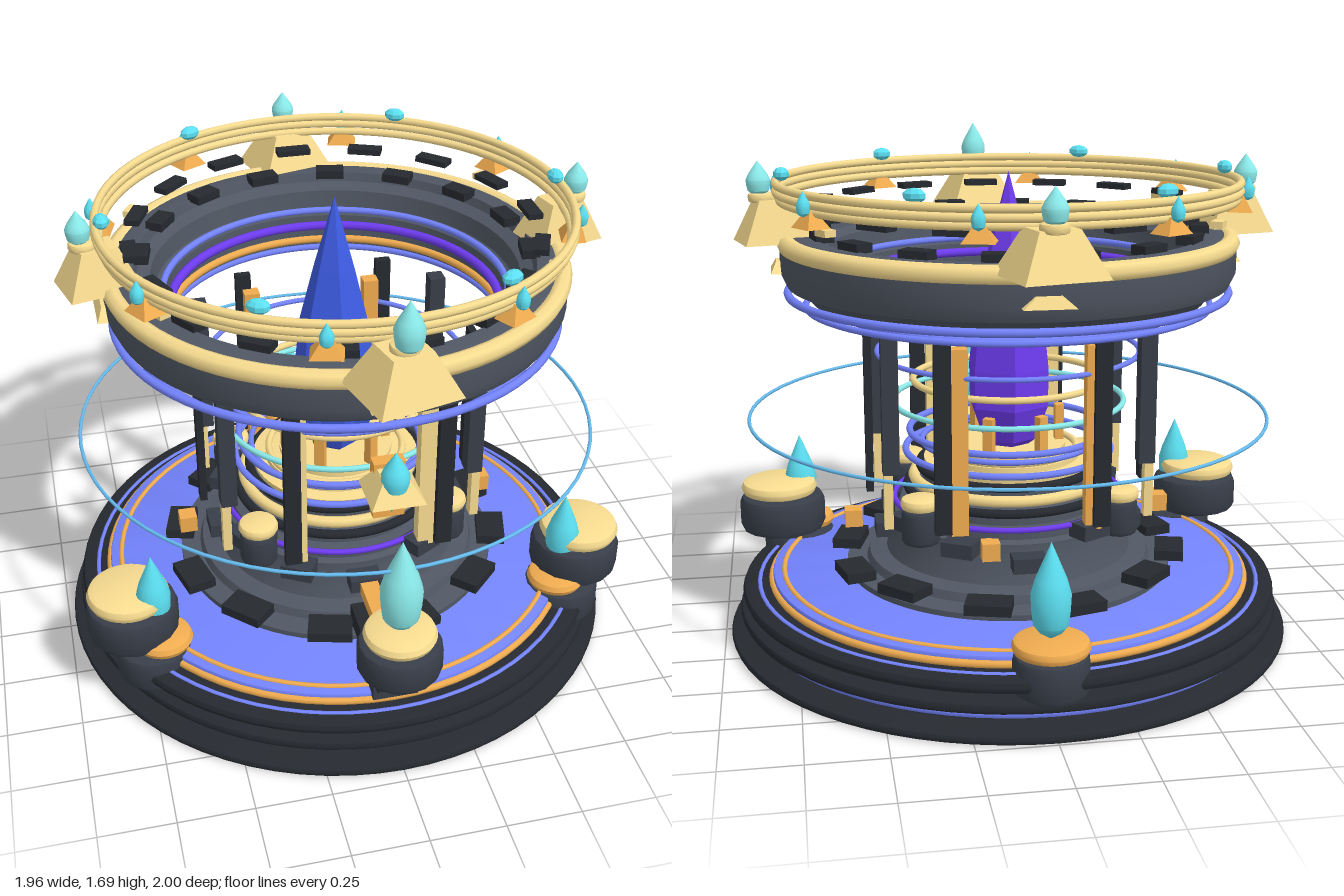
import * as THREE from 'three';
import { toCreasedNormals } from 'three/addons/utils/BufferGeometryUtils.js';

const C = {
  gold: 0xf8dc90, orange: 0xf0ac50, dark: 0x383e49, black: 0x262a30, grey: 0x505763,
  blue: 0x7484ff, purple: 0x6e3cf0, royal: 0x3e5ce4, cyan: 0x5ce0f2, pale: 0x8cecec, sky: 0x66bcf0,
};
const mats = {};
function mat(c, flat) {
  const key = c + (flat ? 'F' : '');
  return mats[key] ??= new THREE.MeshStandardMaterial({ color: C[c], flatShading: flat });
}

export function createModel() {
  const root = new THREE.Group();
  root.name = 'ringTower';
  root.position.z = -0.02;

  // ---- helpers ----
  function add(name, geo, color, x = 0, y = 0, z = 0, parent = root, flat = false) {
    const m = new THREE.Mesh(geo, mat(color, flat));
    m.name = name;
    m.position.set(x, y, z);
    parent.add(m);
    return m;
  }
  const ring = (name, r, y, t, color) =>
    add(name, new THREE.TorusGeometry(r - t, t, 8, 72).rotateX(Math.PI / 2), color, 0, y);
  const lathe = (pts, seg = 72) =>
    toCreasedNormals(new THREE.LatheGeometry(pts.map(p => new THREE.Vector2(...p)), seg), 0.6);
  // solid disc with rounded rims
  const disc = (r, y0, y1, b = 0.012, seg = 72) => {
    const k = b * 0.3;
    return lathe([[0, y0], [r - b, y0], [r - k, y0 + k], [r, y0 + b], [r, y1 - b], [r - k, y1 - k], [r - b, y1], [0, y1]], seg);
  };
  const box = (name, w, h, d, color, x, y, z, parent) =>
    add(name, new THREE.BoxGeometry(w, h, d), color, x, y, z, parent);
  // group placed at an angle (degrees, 0 = front) with local +z pointing outward
  function spoke(name, deg, r, y = 0) {
    const g = new THREE.Group(), a = THREE.MathUtils.degToRad(deg);
    g.name = name;
    g.position.set(Math.sin(a) * r, y, Math.cos(a) * r);
    g.rotation.y = a;
    root.add(g);
    return g;
  }
  // gem with a full waist and a conical tip, standing from y to y + h
  function crystal(name, r, h, x, y, z, parent = root, color = 'cyan') {
    const p = [[0, 0], [0.6, 0.08], [0.86, 0.15], [0.96, 0.3], [1, 0.46], [0.78, 0.62], [0, 1]];
    return add(name, lathe(p.map(q => [q[0] * r, q[1] * h]), 16), color, x, y, z, parent);
  }
  // four-sided tapered block
  const frustum = (wb, db, wt, h) =>
    new THREE.CylinderGeometry(wt / wb * Math.SQRT1_2, Math.SQRT1_2, h, 4, 1).rotateY(Math.PI / 4).scale(wb, 1, db);

  // ---- base plates and floor ----
  add('groundDisc', disc(0.98, 0.005, 0.035), 'black');
  add('lowerCore', disc(0.87, 0.03, 0.18), 'dark');
  add('blueBand', disc(0.91, 0.056, 0.085), 'blue');
  add('lowerPlate', disc(0.945, 0.085, 0.122, 0.015), 'black');
  add('middlePlate', disc(0.935, 0.145, 0.19, 0.02), 'black');
  ring('floorRimRing', 0.885, 0.188, 0.008, 'blue');
  ring('floorOrangeRing', 0.845, 0.2, 0.013, 'orange');
  add('floor', disc(0.83, 0.18, 0.226, 0.008), 'blue');
  ring('floorInnerRing', 0.8, 0.225, 0.009, 'orange');

  // ---- stepped central plinth ----
  add('plinth', lathe([[0.57, 0.22], [0.57, 0.245], [0.5, 0.252], [0.49, 0.28], [0.43, 0.29], [0.4, 0.38],
    [0.4, 0.42], [0.38, 0.43], [0.38, 0.46], [0.34, 0.465], [0.34, 0.51], [0.3, 0.52], [0.3, 0.59], [0, 0.59]]), 'grey');
  ring('plinthPurpleRing', 0.41, 0.47, 0.01, 'purple');
  ring('plinthDarkRing', 0.37, 0.51, 0.016, 'black');
  ring('plinthGoldRing', 0.35, 0.545, 0.02, 'gold');
  ring('drumDarkRing', 0.325, 0.585, 0.016, 'black');
  add('goldDais', lathe([[0.29, 0.58], [0.295, 0.61], [0.25, 0.615], [0.25, 0.635], [0.2, 0.64], [0.2, 0.66], [0, 0.66]]), 'gold');
  ring('daisRing', 0.25, 0.645, 0.012, 'gold');

  // ---- rings floating around the core ----
  [['blue', 0.37, 0.64, 0.012], ['blue', 0.31, 0.67, 0.01], ['blue', 0.355, 0.71, 0.012], ['pale', 0.41, 0.815, 0.01],
    ['gold', 0.34, 0.89, 0.012], ['blue', 0.46, 0.99, 0.009], ['sky', 0.895, 0.775, 0.006]]
    .forEach(([c, r, y, t]) => ring('floatingRing', r, y, t, c));

  // ---- central six-sided crystal in two colours ----
  const core = [[0, 0.6], [0.1, 0.68], [0.145, 0.8], [0.147, 0.93], [0.125, 1.13], [0.07, 1.35], [0, 1.6]]
    .map(p => new THREE.Vector2(...p));
  [['royal', -Math.PI * 2 / 3], ['purple', Math.PI / 3]].forEach(([c, a]) =>
    add('coreCrystal', new THREE.LatheGeometry(core, 3, a, Math.PI), c, 0, 0, -0.012, root, true));
  for (let i = 0; i < 6; i++)
    box('corePost', 0.035, 0.15, 0.03, 'orange', 0, 0, 0, spoke('corePostMount', 30 + i * 60, 0.18, 0.71));

  // ---- pillars between plinth and crown ----
  for (const sx of [-1, 1]) {
    box('sidePillar', 0.025, 0.56, 0.05, 'black', sx * 0.485, 0.78, 0.01);
    for (const sz of [-1, 1]) {
      box('darkPillar', 0.055, 0.5, 0.06, 'dark', sx * 0.43, 0.89, sz * 0.25);
      box('pillarFoot', 0.03, 0.2, 0.04, 'gold', sx * 0.44, 0.55, sz * 0.25);
      box('goldPillar', 0.055, 0.62, 0.05, sz > 0 ? 'gold' : 'orange', sx * 0.22, 0.775, sz * 0.385);
      box('thinPillar', 0.055, 0.66, 0.03, 'black', sx * 0.26 + 0.016, 0.81, sz * 0.42);
      // bollards
      add('bollard', disc(0.065, 0.4, 0.52, 0.015, 12), 'dark', sx * 0.335, 0, sz * 0.275);
      add('bollardCap', disc(0.068, 0.52, 0.56, 0.015, 16), 'gold', sx * 0.335, 0, sz * 0.275);
    }
    box('orangeCube', 0.06, 0.06, 0.06, 'orange', sx * 0.545, 0.405, 0.01);
  }
  box('backCube', 0.06, 0.06, 0.06, 'orange', 0.12, 0.405, -0.39);

  // ---- blocks scattered on the plinth ----
  for (let i = 0; i < 12; i++) {
    const lift = (i * 5 % 3) * 0.014;
    box('lowerBlock', 0.15, 0.035, 0.1, 'black', 0, 0, 0, spoke('lowerBlockMount', i * 30 + 15, 0.57, 0.265 + lift));
    box('upperBlock', 0.11, 0.05, 0.08, 'dark', 0, 0, 0, spoke('upperBlockMount', i * 30, 0.43, 0.37 + lift * 3));
  }
  box('frontBeam', 0.06, 0.045, 0.25, 'orange', 0, 0.385, 0.62);
  box('frontBeamBase', 0.14, 0.07, 0.36, 'black', 0, 0.31, 0.7);
  box('frontFoot', 0.15, 0.09, 0.1, 'dark', 0, 0.26, 0.8);

  // ---- pods on the rim ----
  add('frontPod', disc(0.138, 0.37, 0.49, 0.025, 16), 'dark', 0, 0, 0.88);
  add('frontPodCap', disc(0.118, 0.49, 0.54, 0.025, 32), 'gold', 0, 0, 0.88);
  crystal('frontCrystal', 0.068, 0.34, 0, 0.535, 0.88, root, 'pale');
  add('frontPodTip', new THREE.ConeGeometry(0.04, 0.07, 16).rotateX(Math.PI), 'cyan', 0, 0.34, 0.93);
  for (const sx of [-1, 1]) {
    add('sidePod', disc(0.155, 0.25, 0.385, 0.025, 16), 'dark', sx * 0.79, 0, 0.37);
    add('sidePodCap', disc(0.138, 0.385, 0.44, 0.027, 32), 'gold', sx * 0.8, 0, 0.37);
    add('sidePodFoot', disc(0.13, 0.11, 0.235, 0.02, 16), 'dark', sx * 0.73, 0, 0.42);
    add('sidePodDisc', disc(0.1, 0.235, 0.285, 0.025, 32), 'orange', sx * 0.7, 0, 0.44);
    crystal('sideCrystal', 0.058, 0.29, sx * 0.72, 0.3, 0.42);
  }
  add('backPod', disc(0.12, 0.11, 0.24, 0.02, 16), 'dark', 0, 0, -0.84);
  add('backPodCap', disc(0.122, 0.24, 0.285, 0.022, 32), 'orange', 0, 0, -0.84);
  crystal('backCrystal', 0.063, 0.31, 0, 0.28, -0.83);

  // ---- floating ornament at the front ----
  box('ornamentBack', 0.1, 0.2, 0.045, 'orange', 0, 0.95, 0.695);
  add('ornamentWings', frustum(0.17, 0.17, 0.08, 0.07), 'gold', 0, 1.0, 0.75, root, true);
  crystal('ornamentCrystal', 0.045, 0.15, 0, 0.98, 0.78);
  add('ornamentTip', new THREE.ConeGeometry(0.035, 0.08, 16).rotateX(Math.PI), 'cyan', 0, 0.93, 0.75);

  // ---- crown: hollow ring with stepped inside ----
  add('crown', lathe([[0.56, 1.16], [0.66, 1.175], [0.7, 1.22], [0.745, 1.235], [0.765, 1.28], [0.765, 1.38], [0.72, 1.4],
    [0.66, 1.4], [0.65, 1.37], [0.61, 1.35], [0.6, 1.29], [0.57, 1.27], [0.56, 1.16]]), 'grey');
  ring('crownGoldRim', 0.775, 1.375, 0.032, 'gold');
  ring('crownBlueRing', 0.757, 1.205, 0.014, 'blue');
  ring('crownLowerRing', 0.695, 1.16, 0.011, 'blue');
  ring('crownBottomRing', 0.585, 1.142, 0.012, 'blue');
  ring('crownInnerBlue', 0.585, 1.29, 0.012, 'blue');
  ring('crownInnerPurple', 0.565, 1.24, 0.016, 'purple');
  ring('crownInnerOrange', 0.575, 1.18, 0.014, 'orange');
  [[0.785, 1.572], [0.785, 1.545], [0.775, 1.52]].forEach(([r, y]) => ring('topGoldRing', r, y, 0.014, 'gold'));
  for (let i = 0; i < 16; i++) {
    box('crownBlock', 0.1, 0.03, 0.06, 'black', 0, 0, 0, spoke('crownBlockMount', i * 22.5 + 11, 0.64, 1.41));
    box('floatingTile', 0.12, 0.02, 0.05, 'black', 0, 0, 0, spoke('tileMount', i * 22.5, 0.67, 1.487));
  }
  for (const a of [60, 120, 240, 300])
    box('crownChip', 0.06, 0.022, 0.04, 'gold', 0, 0, 0, spoke('chipMount', a, 0.72, 1.456));

  // ---- four large crown pedestals with crystals ----
  for (let i = 0; i < 4; i++) {
    const big = i % 2 === 0;
    const m = spoke('crownPedestal', i * 90, big ? 0.8 : 0.775, 1.38);
    const p = add('pedestal', frustum(big ? 0.27 : 0.18, 0.24, big ? 0.13 : 0.09, 0.14), 'gold', 0, 0.07, i === 0 ? 0.03 : 0, m, true);
    p.rotation.y = 0.25;
    add('pedestalCollar', disc(0.045, 0.13, 0.16, 0.008, 16), 'gold', 0, 0, 0.04, m);
    crystal('crownCrystal', i === 0 ? 0.046 : 0.04, i === 0 ? 0.165 : 0.115, 0, 0.15, i === 0 ? 0.08 : 0.05, m, 'pale');
    // gold wedge on the crown wall
    add('crownWedge', frustum(0.16, 0.07, 0.08, 0.035), 'gold', 0, -0.08, 0.76 - (big ? 0.8 : 0.775), m, true);
  }

  // ---- small gems around the top rings ----
  for (let i = 0; i < 8; i++) {
    const m = spoke('gemMount', i * 45 - 15, 0.77, 1.48);
    add('gemBase', frustum(0.1, 0.08, 0.03, 0.05), 'orange', 0, 0.02, 0, m, true);
    crystal('smallGem', 0.022, 0.08, 0, 0.03, 0.025, m);
  }
  for (let i = 0; i < 6; i++)
    add('topGem', new THREE.SphereGeometry(0.038, 8, 5).scale(1, 0.6, 0.7), 'cyan', 0, 0, 0,
      spoke('topGemMount', i * 60 + 30, 0.75, 1.6), true);
  return root;
}
